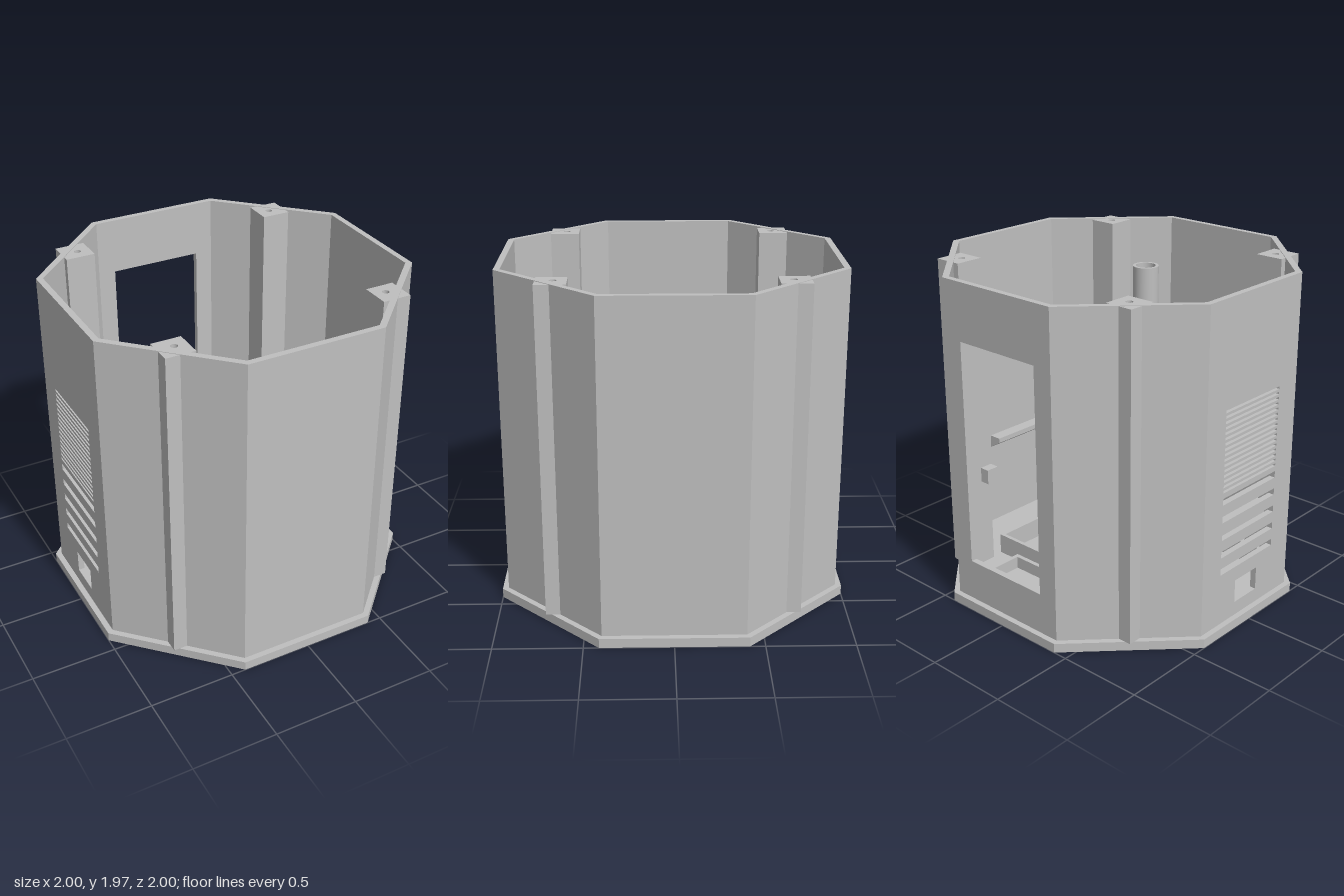
import * as THREE from 'three';

const FLOOR = 0.055, TOP = 1.97, OUTER = 0.966, INNER = 0.93;
const TAN = Math.tan(Math.PI / 8);

// Closed rectangle path, used for outlines and cut-outs
function rect(path, x0, y0, x1, y1) {
  path.moveTo(x0, y0);
  path.lineTo(x1, y0);
  path.lineTo(x1, y1);
  path.lineTo(x0, y1);
  path.closePath();
  return path;
}

function circle(x, y, r) {
  return new THREE.Path().absarc(x, y, r, 0, Math.PI * 2, true);
}

export function createModel() {
  const model = new THREE.Group();
  const grey = new THREE.MeshStandardMaterial({ color: 0xbfbfbf });
  grey.name = 'grey plastic';

  function add(name, geometry, parent = model) {
    const mesh = new THREE.Mesh(geometry, grey);
    mesh.name = name;
    parent.add(mesh);
    return mesh;
  }

  // Extrudes a plan drawn in (x, -z) upwards from y0 to y1
  function upright(name, shape, y0, y1) {
    const g = new THREE.ExtrudeGeometry(shape, { depth: y1 - y0, bevelEnabled: false, curveSegments: 20 });
    g.rotateX(-Math.PI / 2);
    g.translate(0, y0, 0);
    return add(name, g);
  }

  function box(name, x0, y0, z0, x1, y1, z1) {
    const g = new THREE.BoxGeometry(x1 - x0, y1 - y0, z1 - z0);
    g.translate((x0 + x1) / 2, (y0 + y1) / 2, (z0 + z1) / 2);
    return add(name, g);
  }

  // Octagonal base plate with two cable holes
  const plate = new THREE.Shape();
  for (let i = 0; i < 8; i++) {
    const a = Math.PI / 8 + i * Math.PI / 4, r = 1 / Math.cos(Math.PI / 8);
    plate[i ? 'lineTo' : 'moveTo'](r * Math.cos(a), r * Math.sin(a));
  }
  plate.closePath();
  plate.holes.push(circle(0.45, -0.755, 0.063), circle(0.27, -0.715, 0.05));
  upright('basePlate', plate, 0, FLOOR);

  // Cut-outs: rear window, and the vents and port on the -x side
  const windowHoles = [rect(new THREE.Path(), -0.28, 0.3, 0.28, 1.635)];
  const ventHoles = [rect(new THREE.Path(), -0.1, 0.14, 0.1, 0.28)];
  for (let i = 0; i < 5; i++) {
    const y = 0.37 + i * 0.108;
    ventHoles.push(rect(new THREE.Path(), -0.24, y, 0.24, y + 0.04));
  }
  for (let i = 0; i < 16; i++) {
    const y = 0.875 + i * 0.031;
    ventHoles.push(rect(new THREE.Path(), -0.24, y, 0.24, y + 0.015));
  }

  // Eight mitred wall panels
  const walls = new THREE.Group();
  walls.name = 'walls';
  model.add(walls);
  const half = OUTER * TAN;
  for (let i = 0; i < 8; i++) {
    const shape = rect(new THREE.Shape(), -half, FLOOR, half, TOP);
    if (i === 4) shape.holes = windowHoles;
    if (i === 6) shape.holes = ventHoles;
    const g = new THREE.ExtrudeGeometry(shape, { depth: OUTER - INNER, bevelEnabled: false });
    g.translate(0, 0, INNER);
    const p = g.attributes.position;
    for (let k = 0; k < p.count; k++) {
      if (Math.abs(p.getX(k)) > 0.39 && p.getZ(k) < 0.95) p.setX(k, Math.sign(p.getX(k)) * INNER * TAN);
    }
    g.computeVertexNormals();
    const name = i === 4 ? 'windowPanel' : i === 6 ? 'ventPanel' : 'wallPanel';
    add(name, g, walls).rotation.y = i * Math.PI / 4;
  }

  // Square corner posts with screw holes, piercing the diagonal walls
  for (const sx of [-1, 1]) {
    for (const sz of [-1, 1]) {
      const cx = sx * 0.64, cy = sz * 0.638;
      const s = rect(new THREE.Shape(), cx - 0.085, cy - 0.085, cx + 0.085, cy + 0.085);
      s.holes.push(circle(sx * 0.63, sz * 0.628, 0.02));
      upright('cornerPost', s, FLOOR, TOP - 0.003);
    }
    // Small catch on each rear post
    const x0 = sx < 0 ? -0.555 : 0.495;
    box('postCatch', x0, 0.6, -0.625, x0 + 0.06, 0.69, -0.545);
  }

  // Wedge-shaped ledges on the front and both side walls
  for (const i of [0, 2, 6]) {
    const s = new THREE.Shape();
    s.moveTo(-INNER, 0.58);
    s.lineTo(-INNER, 0.66);
    s.lineTo(-0.85, 0.66);
    s.lineTo(-0.85, 0.63);
    s.closePath();
    const g = new THREE.ExtrudeGeometry(s, { depth: 0.41, bevelEnabled: false });
    g.translate(0, 0, -0.205);
    g.rotateY(Math.PI / 2);
    add('wallLedge', g).rotation.y = i * Math.PI / 4;
  }

  // Low rails on the floor, open towards -x
  box('floorRailBack', -0.815, FLOOR, -0.48, 0.57, 0.18, -0.457);
  box('floorRailFront', -0.815, FLOOR, 0.448, 0.57, 0.18, 0.47);
  box('floorRailSide', 0.546, FLOOR, -0.457, 0.57, 0.18, 0.448);

  // Open tray under the window
  const tray = rect(new THREE.Shape(), -0.38, 0.522, 0.373, 0.932);
  tray.holes.push(rect(new THREE.Path(), -0.353, 0.548, 0.347, 0.91));
  upright('rearTray', tray, FLOOR, 0.13);

  // Tall cable tube above the larger hole
  const tube = [[0.063, FLOOR], [0.083, FLOOR], [0.083, 1.68], [0.063, 1.68], [0.063, FLOOR]];
  // Separate lathe bands keep the rims sharp
  const tubeGroup = new THREE.Group();
  tubeGroup.name = 'cableTube';
  tubeGroup.position.set(0.45, 0, 0.755);
  model.add(tubeGroup);
  for (let i = 0; i < 4; i++) {
    const band = [tube[i], tube[i + 1]].map(([r, y]) => new THREE.Vector2(r, y));
    add('tubeBand', new THREE.LatheGeometry(band, 36), tubeGroup);
  }

  return model;
}
